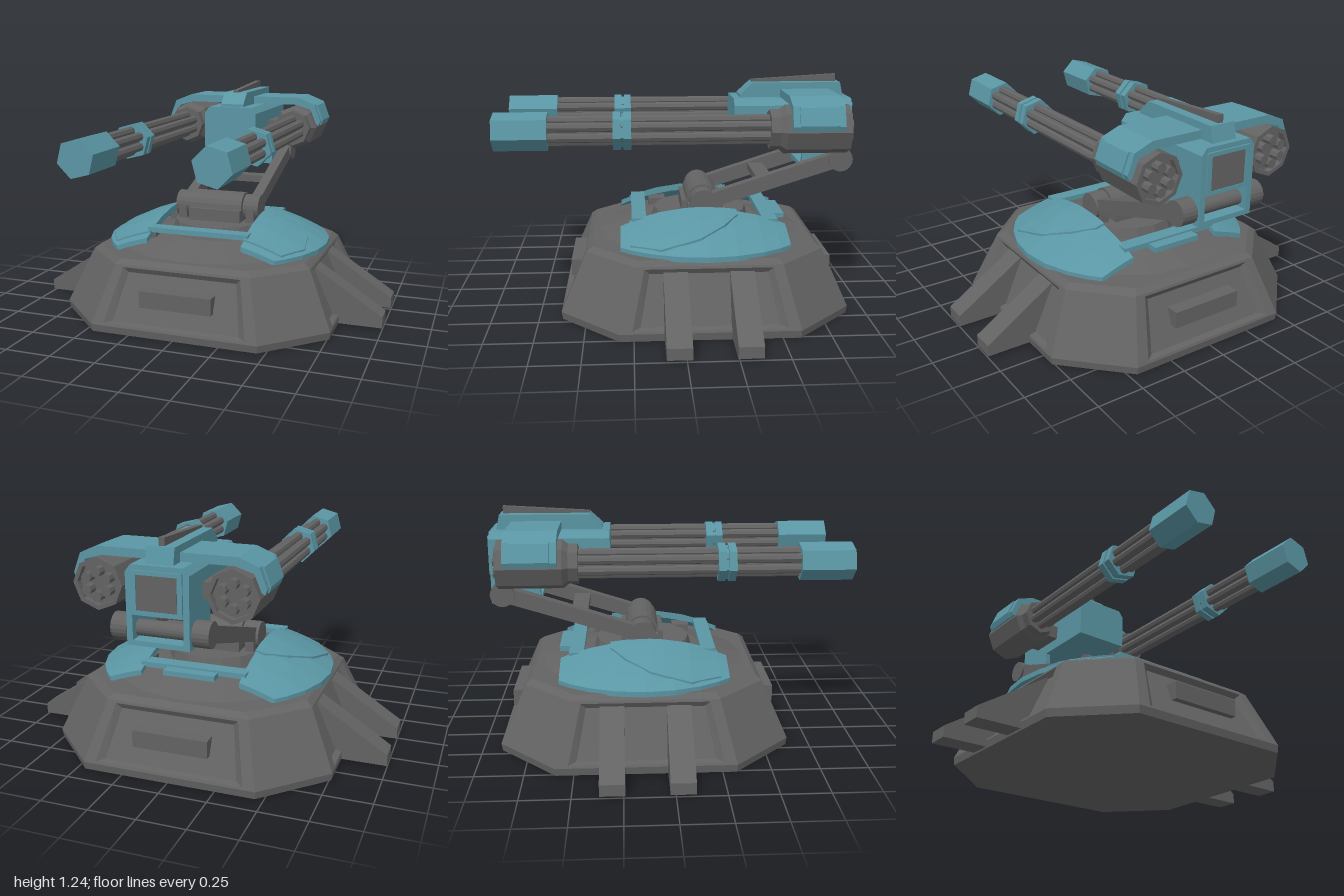
import * as THREE from 'three';

const teal = new THREE.MeshStandardMaterial({ color: 0x5a96a4, flatShading: true, side: THREE.DoubleSide });
const grey = new THREE.MeshStandardMaterial({ color: 0x636363, flatShading: true, side: THREE.DoubleSide });
const CZ = -0.135; // centre of the base along z

// ---- helpers ----
function add(parent, name, geometry, material, x = 0, y = 0, z = 0) {
  const mesh = new THREE.Mesh(geometry, material);
  mesh.name = name;
  mesh.position.set(x, y, z);
  parent.add(mesh);
  return mesh;
}
const box = (w, h, d) => new THREE.BoxGeometry(w, h, d);
const cylX = (r, len, sides = 20) => new THREE.CylinderGeometry(r, r, len, sides).rotateZ(Math.PI / 2);
// cylinder along z; rFront is the +z end
const cylZ = (rFront, rBack, len, sides) => new THREE.CylinderGeometry(rFront, rBack, len, sides).rotateX(Math.PI / 2);
const toShape = pts => new THREE.Shape(pts.map(p => new THREE.Vector2(p[0], p[1])));
// [x, y] outline, extruded symmetrically along z
const extrudeZ = (pts, depth) =>
  new THREE.ExtrudeGeometry(toShape(pts), { depth, bevelEnabled: false }).translate(0, 0, -depth / 2);
// [z, y] outline, extruded symmetrically along x
const extrudeX = (pts, width) => extrudeZ(pts, width).rotateY(-Math.PI / 2);

function quadGeometry(quads) {
  const pos = [];
  for (const [a, b, c, d] of quads)
    for (const v of [a, b, c, a, c, d]) pos.push(v.x, v.y, v.z);
  const g = new THREE.BufferGeometry();
  g.setAttribute('position', new THREE.Float32BufferAttribute(pos, 3));
  g.computeVertexNormals();
  return g;
}

// ---- octagonal hull with a recessed panel on the four main walls ----
function hullGeometry() {
  const ring = (h, c, y) => [[c, h], [h, c], [h, -c], [c, -h], [-c, -h], [-h, -c], [-h, c], [-c, h]]
    .map(([x, z]) => new THREE.Vector3(x, y, z + CZ));
  const rings = [ring(0.76, 0.457, 0), ring(0.766, 0.46, 0.04), ring(0.632, 0.38, 0.345), ring(0.6, 0.36, 0.37)];
  const quads = [];
  for (let l = 0; l < 3; l++) {
    for (let i = 0; i < 8; i++) {
      const j = (i + 1) % 8;
      const q = [rings[l][i], rings[l][j], rings[l + 1][j], rings[l + 1][i]];
      if (l !== 1 || i % 2 === 0) { quads.push(q); continue; }
      const n = q[1].clone().sub(q[0]).cross(q[3].clone().sub(q[0])).normalize();
      const inset = (u, v, depth) => [[u, v], [1 - u, v], [1 - u, 1 - v], [u, 1 - v]].map(([s, t]) =>
        q[0].clone().lerp(q[1], s).lerp(q[3].clone().lerp(q[2], s), t).addScaledVector(n, -depth));
      const rim = inset(0.07, 0.04, 0), floor = inset(0.11, 0.1, 0.025);
      for (let k = 0; k < 4; k++) {
        const m = (k + 1) % 4;
        quads.push([q[k], q[m], rim[m], rim[k]], [rim[k], rim[m], floor[m], floor[k]]);
      }
      quads.push(floor);
    }
  }
  const t = rings[3], b = rings[0];
  for (const [i, j, k, l] of [[0, 1, 2, 3], [3, 4, 7, 0], [4, 5, 6, 7]])
    quads.push([t[i], t[j], t[k], t[l]], [b[l], b[k], b[j], b[i]]);
  return quadGeometry(quads);
}

// ---- domed armour plate: stations are [z offset, inner x, outer x] ----
function domePlate(stations, side, lift, thick) {
  const n = 4;
  const sections = stations.map(([dz, x0, x1]) => {
    const top = [], low = [];
    for (let i = 0; i <= n; i++) {
      const x = x0 + (x1 - x0) * i / n;
      const y = 0.576 - 0.45 * (x * x + dz * dz) + lift;
      top.push(new THREE.Vector3(x * side, y, dz + CZ));
      low.push(new THREE.Vector3(x * side, y - thick, dz + CZ));
    }
    return top.concat(low.reverse());
  });
  const quads = [], m = 2 * n + 2;
  const push = q => quads.push(side > 0 ? q : q.reverse());
  for (let s = 0; s < sections.length - 1; s++)
    for (let i = 0; i < m; i++) {
      const j = (i + 1) % m, a = sections[s], b = sections[s + 1];
      push([a[i], b[i], b[j], a[j]]);
    }
  const first = sections[0], last = sections[sections.length - 1];
  for (let i = 0; i < n; i++) {
    push([first[i], first[i + 1], first[m - 2 - i], first[m - 1 - i]]);
    push([last[m - 1 - i], last[m - 2 - i], last[i + 1], last[i]]);
  }
  return quadGeometry(quads);
}

function buildBase(root) {
  const base = new THREE.Group();
  base.name = 'base';
  root.add(base);
  add(base, 'hull', hullGeometry(), grey);
  for (const z of [0.545, -0.815]) add(base, 'hatchBar', box(0.4, 0.09, 0.09), grey, 0, 0.195, z);
  for (const s of [1, -1])
    for (const z of [0.035, -0.305])
      add(base, 'outrigger', extrudeZ([[0.55, 0.01], [1, 0.01], [1, 0.07], [0.6, 0.33], [0.55, 0.33]]
        .map(([x, y]) => [x * s, y]), 0.125), grey, 0, 0, z);
  add(base, 'deck', new THREE.CylinderGeometry(0.33, 0.58, 0.065, 16), grey, 0, 0.4, CZ);
  add(base, 'turntable', new THREE.CylinderGeometry(0.26, 0.28, 0.07, 16), grey, 0, 0.455, CZ);

  // side armour, with a raised layer over the inner front area
  const plate = [-0.45, -0.39, -0.29, -0.15, 0, 0.15, 0.29, 0.39, 0.45]
    .map(dz => [dz, 0.27, Math.sqrt(0.41 - dz * dz)]);
  const layer = [[-0.18, 0.27, 0.32], [-0.1, 0.27, 0.43], [0.03, 0.27, 0.53], [0.1, 0.27, 0.55],
    [0.24, 0.27, 0.57], [0.4, 0.27, 0.48]];
  for (const s of [1, -1]) {
    add(base, 'sideArmour', domePlate(plate, s, 0, 0.028), teal);
    add(base, 'armourLayer', domePlate(layer, s, 0.01, 0.015), teal);
    for (const z of [0.1, -0.37]) add(base, 'armourSupport', box(0.1, 0.08, 0.1), grey, 0.34 * s, 0.415, z);
  }
  add(base, 'frontRim', box(0.58, 0.028, 0.08), teal, 0, 0.485, 0.215);
  add(base, 'rearRim', box(0.58, 0.028, 0.08), teal, 0, 0.47, -0.5);
  add(base, 'rearTongue', box(0.28, 0.028, 0.08), teal, 0, 0.46, -0.56);
}

function buildLift(root) {
  const lift = new THREE.Group();
  lift.name = 'liftArms';
  root.add(lift);
  add(lift, 'lowerHub', cylX(0.09, 0.31), grey, 0, 0.56, -0.14);
  add(lift, 'hubBlock', box(0.31, 0.12, 0.23), grey, 0, 0.5, -0.14);
  for (const s of [1, -1]) {
    add(lift, 'arm', extrudeX([[-0.15, 0.607], [-0.885, 0.845], [-0.885, 0.757], [-0.13, 0.52]], 0.06), grey, 0.205 * s);
    add(lift, 'lowerPivot', cylX(0.075, 0.09), grey, 0.205 * s, 0.565, -0.14);
    add(lift, 'pivotHousing', box(0.05, 0.1, 0.17), grey, 0.205 * s, 0.51, -0.14);
    add(lift, 'upperPivot', cylX(0.065, 0.085), grey, 0.205 * s, 0.8, -0.885);
  }
  add(lift, 'crossBar', box(0.36, 0.04, 0.09), grey, 0, 0.675, -0.48);
  add(lift, 'upperAxle', cylX(0.04, 0.36), grey, 0, 0.8, -0.885);
}

function buildHead(root) {
  const head = new THREE.Group();
  head.name = 'head';
  root.add(head);
  // body with chamfered upper edges
  add(head, 'headBody', extrudeZ([[-0.158, 0.88], [0.158, 0.88], [0.158, 1.085], [0.13, 1.12], [-0.13, 1.12], [-0.158, 1.085]],
    0.645), teal, 0, 0, -0.6325);
  for (const s of [1, -1]) {
    add(head, 'axleBracket', box(0.03, 0.16, 0.265), teal, 0.143 * s, 0.81, -0.822);
    add(head, 'gunMount', box(0.14, 0.08, 0.22), grey, 0.21 * s, 0.98, -0.68);
    add(head, 'rearFrame', box(0.025, 0.2, 0.015), teal, 0.115 * s, 0.99, -0.957);
  }
  add(head, 'bracketFloor', box(0.316, 0.025, 0.265), teal, 0, 0.743, -0.822);
  add(head, 'rearPanel', box(0.2, 0.18, 0.01), grey, 0, 0.99, -0.956);
  for (const y of [0.895, 1.085]) add(head, 'rearFrame', box(0.25, 0.02, 0.015), teal, 0, y, -0.957);
  // roof hatch and sight rail
  add(head, 'roofHatch', extrudeX([[-0.35, 1.11], [-0.35, 1.135], [-0.42, 1.2], [-0.905, 1.2], [-0.925, 1.11]], 0.14), teal);
  add(head, 'sightRail', extrudeX([[-0.42, 1.19], [-0.42, 1.212], [-0.89, 1.24], [-0.89, 1.19]], 0.03), grey);
  // arched cover over both guns
  const half = [[0.35, 1.165], [0.45, 1.125], [0.488, 1.025], [0.478, 1.0], [0.458, 1.01], [0.425, 1.095], [0.335, 1.122]];
  const arch = half.concat(half.map(([x, y]) => [-x, y]).reverse());
  add(head, 'gunCover', extrudeZ(arch, 0.27), teal, 0, 0, -0.707);
  for (const s of [1, -1])
    add(head, 'coverSidePanel', extrudeZ([[0.45, 1.125], [0.462, 1.12], [0.496, 1.03], [0.485, 1.0], [0.46, 1.02]]
      .map(([x, y]) => [x * s, y]), 0.2), teal, 0, 0, -0.707);
}

function buildGun(root, s) {
  const gun = new THREE.Group();
  gun.name = s > 0 ? 'leftGun' : 'rightGun';
  gun.position.set(0.34 * s, 0.99, 0);
  root.add(gun);
  const hexTurn = s * Math.PI / 12;
  add(gun, 'housing', cylZ(0.13, 0.13, 0.3, 8), grey, 0, 0, -0.7);
  add(gun, 'housingTaper', cylZ(0.105, 0.13, 0.03, 8), grey, 0, 0, -0.535);
  add(gun, 'frontCollar', cylZ(0.105, 0.105, 0.06, 8), grey, 0, 0, -0.5);
  // open ring at the rear around the breech ends
  const oct = r => Array.from({ length: 8 }, (_, i) => [r * Math.cos(i * Math.PI / 4), r * Math.sin(i * Math.PI / 4)]);
  const ring = toShape(oct(0.13));
  ring.holes.push(toShape(oct(0.108)));
  add(gun, 'rearRing', new THREE.ExtrudeGeometry(ring, { depth: 0.04, bevelEnabled: false }), grey, 0, 0, -0.885);
  // clustered barrels around a core
  add(gun, 'barrelCore', cylZ(0.05, 0.05, 1.2, 12), grey, 0, 0, 0.1);
  for (let i = 0; i < 6; i++) {
    const a = i * Math.PI / 3 + Math.PI / 6;
    add(gun, 'barrel', cylZ(0.025, 0.025, 1.2, 8), grey, 0.055 * Math.cos(a), 0.055 * Math.sin(a), 0.1);
    add(gun, 'breechEnd', cylZ(0.026, 0.026, 0.06, 8), grey, 0.06 * Math.cos(a), 0.06 * Math.sin(a), -0.87);
  }
  for (const z of [0.27, 0.325]) add(gun, 'barrelBand', cylZ(0.1, 0.1, 0.04, 6).rotateZ(hexTurn), teal, 0, 0, z);
  add(gun, 'bandCore', cylZ(0.088, 0.088, 0.04, 6).rotateZ(hexTurn), teal, 0, 0, 0.298);
  add(gun, 'muzzle', cylZ(0.1, 0.1, 0.28, 6).rotateZ(hexTurn), teal, 0, 0, 0.82);
}

export function createModel() {
  const root = new THREE.Group();
  root.name = 'gunTurret';
  buildBase(root);
  buildLift(root);
  buildHead(root);
  for (const s of [1, -1]) buildGun(root, s);
  return root;
}
